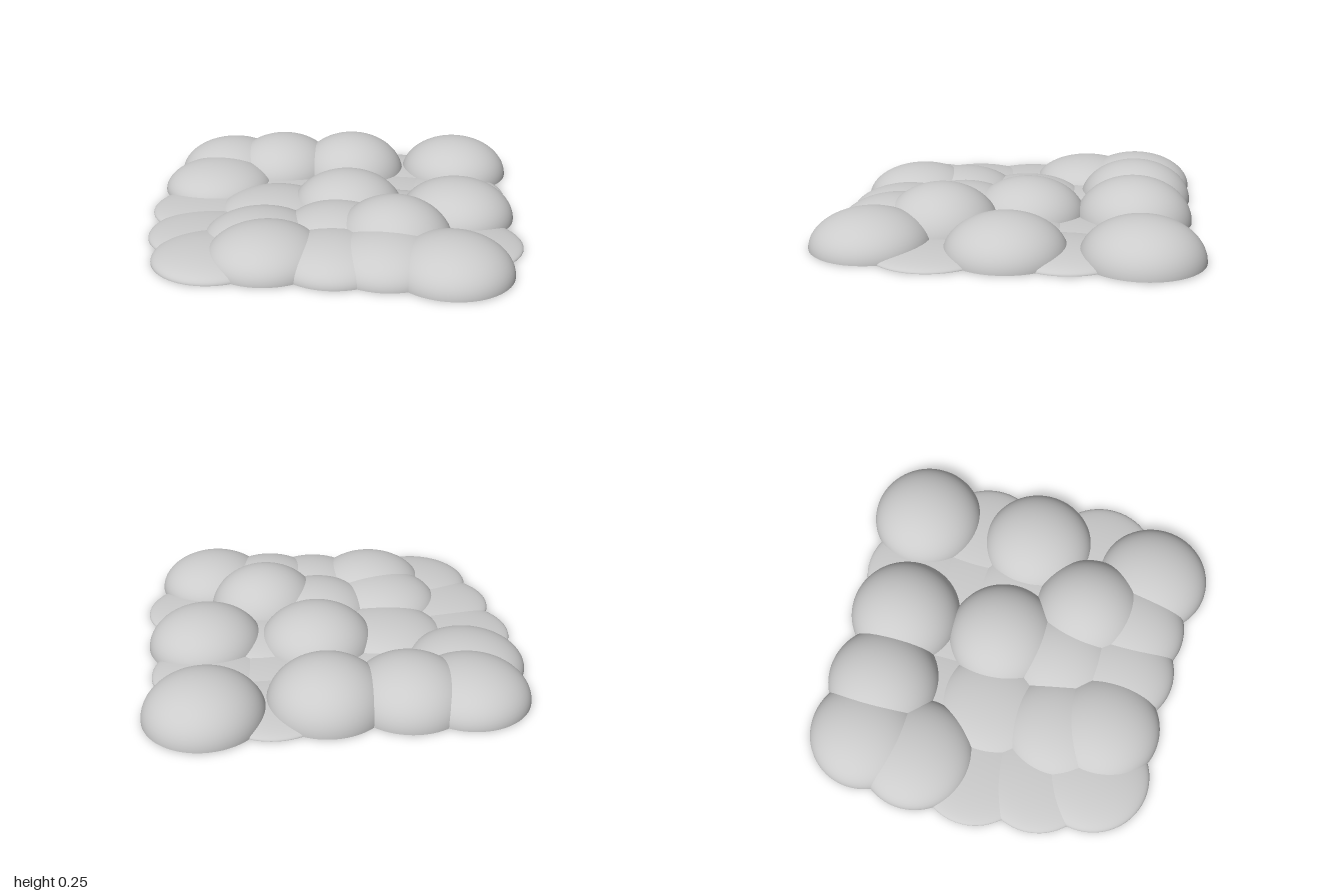
import * as THREE from 'three';

// Domes in five rows, back to front: [x, z, height]
const ROWS = {
  backRow: [[-0.65, -0.64, 0.19], [-0.345, -0.635, 0.225], [0.065, -0.63, 0.24], [0.33, -0.62, 0.05], [0.675, -0.675, 0.215]],
  midBackRow: [[-0.69, -0.35, 0.155], [-0.33, -0.33, 0.055], [0.0, -0.32, 0.05], [0.32, -0.32, 0.05], [0.64, -0.31, 0.06]],
  middleRow: [[-0.69, -0.02, 0.05], [-0.32, -0.02, 0.11], [0.07, -0.065, 0.22], [0.35, 0.0, 0.085], [0.665, -0.015, 0.205]],
  midFrontRow: [[-0.645, 0.31, 0.06], [-0.35, 0.36, 0.15], [0.04, 0.29, 0.17], [0.33, 0.36, 0.25], [0.685, 0.35, 0.05]],
  frontRow: [[-0.57, 0.585, 0.08], [-0.3, 0.585, 0.18], [0.04, 0.595, 0.145], [0.3, 0.6, 0.17], [0.615, 0.665, 0.19]],
};
const RADIUS = 0.308;
const BELLY = 0.004; // depth of the nearly flat underside

// Sphere with a squashed top half and an almost flat underside
function domeGeometry(height) {
  const geometry = new THREE.SphereGeometry(1, 64, 32);
  const p = geometry.attributes.position;
  const n = geometry.attributes.normal;
  const normal = new THREE.Vector3();
  for (let i = 0; i < p.count; i++) {
    const x = p.getX(i), y = p.getY(i), z = p.getZ(i);
    normal.set(x / RADIUS, y / height, z / RADIUS).normalize();
    n.setXYZ(i, normal.x, normal.y, normal.z);
    p.setXYZ(i, x * RADIUS, BELLY + y * (y > 0 ? height - BELLY : BELLY), z * RADIUS);
  }
  return geometry;
}

export function createModel() {
  const model = new THREE.Group();
  model.name = 'domeCluster';
  const material = new THREE.MeshStandardMaterial({ color: 0xcccccc });

  for (const [name, domes] of Object.entries(ROWS)) {
    const row = new THREE.Group();
    row.name = name;
    domes.forEach(([x, z, height], i) => {
      const dome = new THREE.Mesh(domeGeometry(height), material);
      dome.name = `dome${i + 1}`;
      dome.position.set(x, 0, z);
      row.add(dome);
    });
    model.add(row);
  }
  return model;
}
